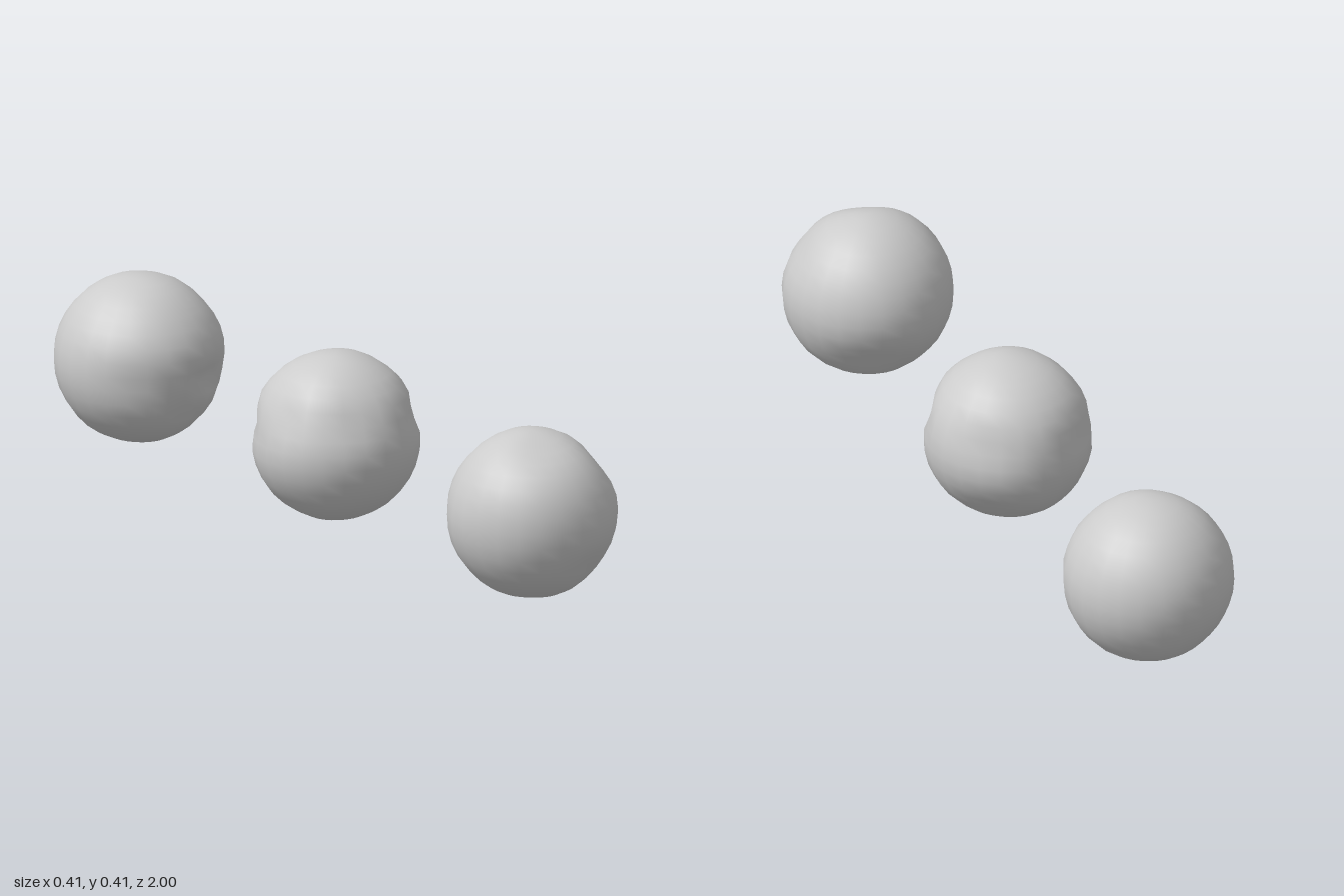
import * as THREE from 'three';
import { mergeVertices } from 'three/addons/utils/BufferGeometryUtils.js';

const RADIUS = 0.206;

// Dent: [direction x, y, z, depth, width around, width up]
const balls = [
  { name: 'frontBall', z: 0.795, phase: 0.4, dents: [
    [0.25, -0.55, 0.8, 0.014, 0.35, 0.25],
    [0.3, -0.6, -0.75, 0.018, 0.4, 0.3],
    [0.75, 0.6, 0.28, 0.01, 0.4, 0.3],
    [-0.1, 0.9, 0.45, 0.01, 0.4, 0.3],
  ] },
  { name: 'middleBall', z: 0, phase: 2.1, dents: [
    [0.7, 0.25, 0.6, 0.02, 0.4, 0.22],
    [-0.4, 0.35, 0.85, 0.016, 0.35, 0.25],
    [-0.9, 0.35, 0.25, 0.018, 0.3, 0.3],
    [-0.67, 0.15, -0.67, 0.018, 0.5, 0.2],
    [0.6, 0.25, -0.7, 0.014, 0.35, 0.25],
    [0.5, -0.65, -0.5, 0.012, 0.35, 0.3],
  ] },
  { name: 'backBall', z: -0.795, phase: 4.3, dents: [
    [0.4, -0.15, 0.9, 0.032, 0.4, 0.18],
    [0.1, -0.5, 0.85, 0.018, 0.3, 0.2],
    [-0.6, -0.1, 0.8, 0.012, 0.4, 0.25],
    [-0.6, 0.55, 0.5, 0.008, 0.4, 0.3],
  ] },
];

// Sphere with gentle waves and soft oval dents pressed into it
function lumpyBall(dents, phase) {
  const sphere = new THREE.SphereGeometry(RADIUS, 24, 18);
  sphere.deleteAttribute('uv');
  sphere.deleteAttribute('normal');
  const geometry = mergeVertices(sphere, 1e-5);
  const pos = geometry.attributes.position;
  const n = new THREE.Vector3();
  for (let i = 0; i < pos.count; i++) {
    n.fromBufferAttribute(pos, i).normalize();
    let r = RADIUS + 0.0015 * Math.sin(5 * n.x + phase) * Math.cos(6 * n.z - 4 * n.y + phase);
    for (const [x, y, z, depth, wide, tall] of dents) {
      const d = new THREE.Vector3(x, y, z).normalize();
      const around = new THREE.Vector3(d.z, 0, -d.x).normalize();
      const up = new THREE.Vector3().crossVectors(d, around);
      if (n.dot(d) <= 0) continue;
      r -= depth * Math.exp(-((n.dot(around) / wide) ** 2) - (n.dot(up) / tall) ** 2);
    }
    pos.setXYZ(i, n.x * r, n.y * r, n.z * r);
  }
  geometry.computeVertexNormals();
  return geometry;
}

export function createModel() {
  const group = new THREE.Group();
  group.name = 'rowOfLumpyBalls';
  const material = new THREE.MeshStandardMaterial({ color: 0xcccccc });
  for (const { name, z, phase, dents } of balls) {
    const mesh = new THREE.Mesh(lumpyBall(dents, phase), material);
    mesh.name = name;
    mesh.position.set(0, 0.207, z);
    group.add(mesh);
  }
  return group;
}
